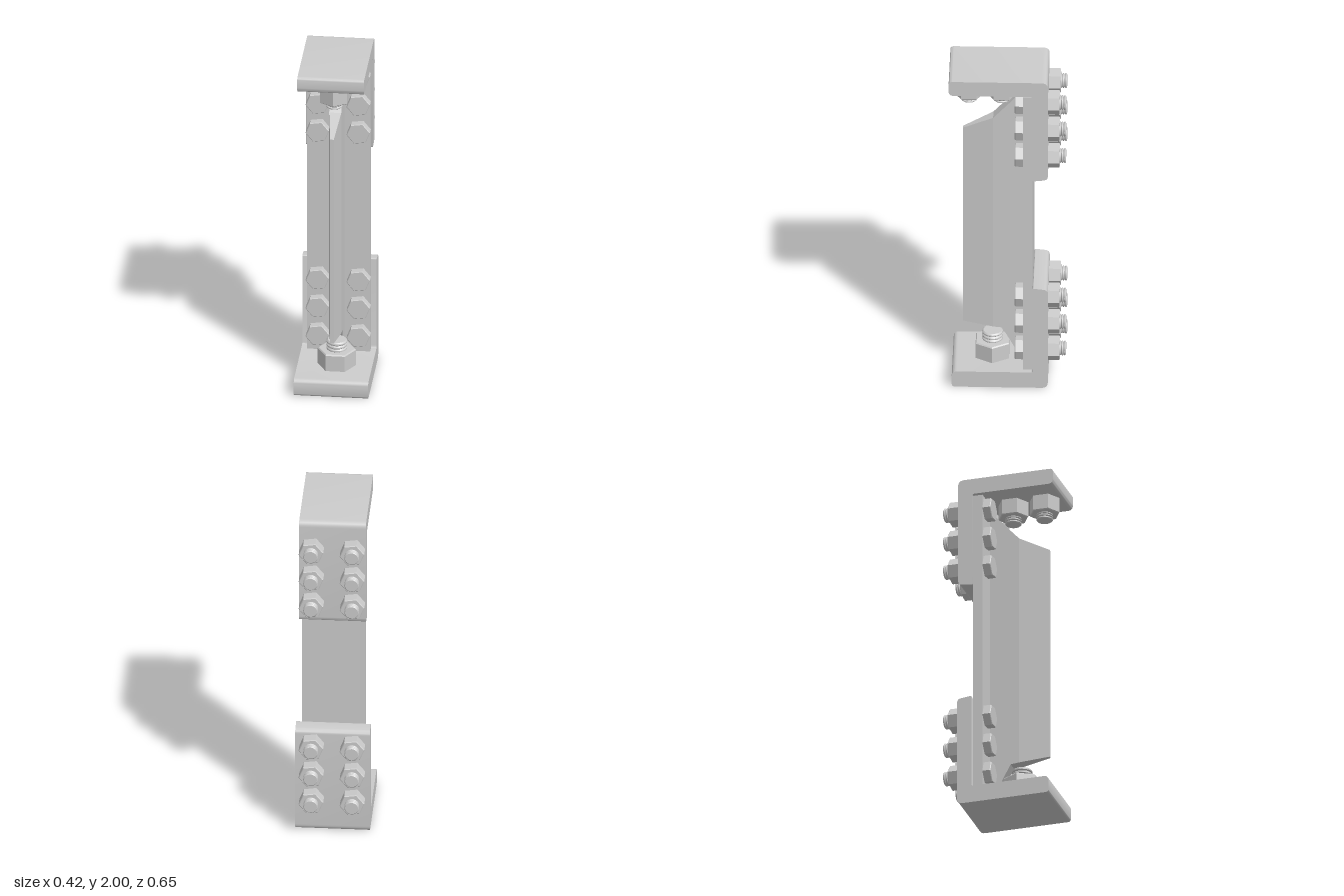
import * as THREE from 'three';
import { toCreasedNormals } from 'three/addons/utils/BufferGeometryUtils.js';

const steel = new THREE.MeshStandardMaterial({ color: 0xcccccc });
const steelFlat = new THREE.MeshStandardMaterial({ color: 0xcccccc, flatShading: true });
const V = (x, y) => new THREE.Vector2(x, y);

function mesh(name, geometry, material = steel) {
  const m = new THREE.Mesh(geometry, material);
  m.name = name;
  return m;
}

// Side profile of [z, y, cornerRadius] points, extruded across x
function slab(points, width) {
  const shape = new THREE.Shape();
  const n = points.length;
  points.forEach(([z, y, r = 0], i) => {
    const p = V(z, y);
    const toward = (q) => p.clone().add(V(q[0], q[1]).sub(p).setLength(r));
    const a = toward(points[(i + n - 1) % n]);
    const b = toward(points[(i + 1) % n]);
    if (i === 0) shape.moveTo(a.x, a.y);
    else shape.lineTo(a.x, a.y);
    if (r > 0) shape.quadraticCurveTo(z, y, b.x, b.y);
  });
  const g = new THREE.ExtrudeGeometry(shape, { depth: width, bevelEnabled: false, curveSegments: 6 });
  g.translate(0, 0, -width / 2).rotateY(-Math.PI / 2);
  return toCreasedNormals(g, 0.6);
}

// L-shaped bracket; dir is the way the upright leg runs from the heel
function bracket(name, heelY, dir, thick, toeZ, legLength, width) {
  const y = (d) => heelY + dir * d;
  return mesh(name, slab([
    [-0.23, y(0), 0.035],
    [toeZ, y(0), 0.02],
    [toeZ, y(thick), 0.03],
    [-0.145, y(thick), 0.01],
    [-0.145, y(legLength), 0.008],
    [-0.23, y(legLength - 0.01), 0.025],
  ], width));
}

// Six-sided nut or bolt head standing on y = 0, with a chamfered top
function hex(name, r, h, twist) {
  const c = r * 0.06;
  const g = new THREE.LatheGeometry([V(0, 0), V(r, 0), V(r, h - c), V(r - c, h), V(0, h)], 6);
  return mesh(name, g.rotateY(twist), steelFlat);
}

// Ridged stud end from y0 to y1
function stud(r, y0, y1) {
  const rings = 3, step = (y1 - y0) / rings, pts = [V(0, y0)];
  for (let i = 0; i < rings; i++) {
    const y = y0 + i * step;
    pts.push(V(r * 0.88, y), V(r, y + step * 0.3), V(r, y + step * 0.65));
  }
  pts.push(V(r * 0.88, y1), V(0, y1));
  return mesh('threadedEnd', toCreasedNormals(new THREE.LatheGeometry(pts, 24), 0.5));
}

function nutAndStud(name, r, h, studR, top, twist) {
  const g = new THREE.Group();
  g.name = name;
  g.add(hex('nut', r, h, twist), stud(studR, h - 0.005, top));
  return g;
}

export function createModel() {
  const model = new THREE.Group();
  model.name = 'bracketedTeePost';

  // End brackets
  model.add(bracket('topBracket', 2, -1, 0.092, 0.325, 0.65, 0.375));
  model.add(bracket('bottomBracket', 0, 1, 0.1, 0.307, 0.655, 0.418));

  // Tee post: flat flange, upright web, and web nose thinning to the front
  const flange = mesh('flange', new THREE.BoxGeometry(0.356, 1.8, 0.055));
  flange.position.set(0, 1.0, -0.1175);
  model.add(flange);
  model.add(mesh('web', slab([
    [-0.1, 0.1], [-0.07, 0.1], [0.03, 0.285], [0.08, 0.29],
    [0.08, 1.67], [-0.03, 1.79], [-0.1, 1.87],
  ], 0.068)));
  const nose = slab([[0.08, 0.29], [0.25, 0.312], [0.25, 1.587], [0.08, 1.67]], 0.068);
  const p = nose.attributes.position;
  for (let i = 0; i < p.count; i++) if (p.getZ(i) > 0.2) p.setX(i, p.getX(i) * 0.3);
  nose.computeVertexNormals();
  model.add(mesh('webNose', nose, steelFlat));

  // Bolts through flange and brackets
  const twist = Math.PI / 6 + 0.15;
  for (const y of [0.207, 0.382, 0.557, 1.48, 1.655, 1.83]) {
    for (const x of [-0.114, 0.116]) {
      const bolt = new THREE.Group();
      bolt.name = 'flangeBolt';
      const head = hex('boltHead', 0.067, 0.047, twist);
      head.rotation.x = Math.PI / 2;
      head.position.z = -0.091;
      const nut = nutAndStud('boltNut', 0.07, 0.065, 0.041, 0.1, twist);
      nut.rotation.x = -Math.PI / 2;
      nut.position.z = -0.23;
      bolt.add(head, nut);
      bolt.position.set(x, y, 0);
      model.add(bolt);
    }
  }

  // Anchor nuts: two hanging under the top leg, one standing on the bottom leg
  for (const z of [0.215, 0.032]) {
    const a = nutAndStud('topAnchor', 0.087, 0.092, 0.046, 0.13, 0);
    a.rotation.x = Math.PI;
    a.position.set(0.01, 1.908, z);
    model.add(a);
  }
  const b = nutAndStud('bottomAnchor', 0.108, 0.101, 0.058, 0.157, Math.PI / 6);
  b.position.set(0.01, 0.1, 0.084);
  model.add(b);

  return model;
}
